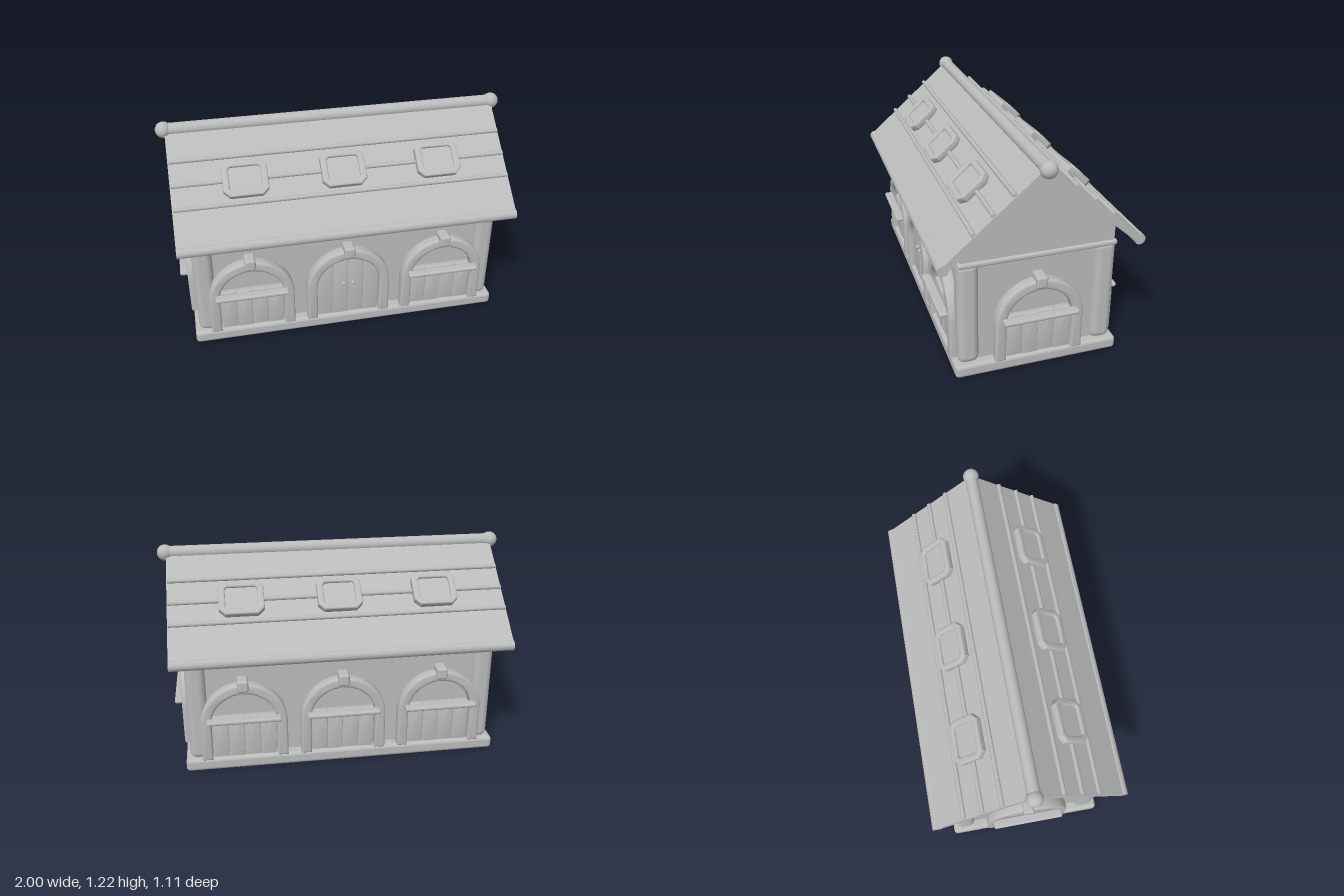
import * as THREE from 'three';
import { RoundedBoxGeometry } from 'three/addons/geometries/RoundedBoxGeometry.js';
import { toCreasedNormals } from 'three/addons/utils/BufferGeometryUtils.js';

const stone = new THREE.MeshStandardMaterial({ name: 'plain grey', color: 0xbbbbbb });

function add(parent, name, geometry, x = 0, y = 0, z = 0) {
  const mesh = new THREE.Mesh(geometry, stone);
  mesh.name = name;
  mesh.position.set(x, y, z);
  parent.add(mesh);
  return mesh;
}

function group(parent, name) {
  const g = new THREE.Group();
  g.name = name;
  parent.add(g);
  return g;
}

const rounded = (w, h, d, r) => new RoundedBoxGeometry(w, h, d, 4, r);
const rod = (r, length, sides) => new THREE.CylinderGeometry(r, r, length, sides).rotateZ(Math.PI / 2);

// Extrusion from z = 0 to z = depth with a softened front edge
function extrude(shape, depth, bevel) {
  const g = new THREE.ExtrudeGeometry(shape, {
    depth: depth - 2 * bevel, curveSegments: 24, bevelEnabled: bevel > 0,
    bevelThickness: bevel, bevelSize: bevel, bevelOffset: -bevel, bevelSegments: 3,
  });
  return toCreasedNormals(g.translate(0, 0, bevel), 0.6);
}

const FLOOR = 0.07, SPRING = 0.29, OUTER = 0.245, INNER = 0.185;

// Horseshoe-shaped surround of an opening
function archShape() {
  const s = new THREE.Shape();
  s.moveTo(OUTER, FLOOR);
  s.lineTo(OUTER, SPRING);
  s.absarc(0, SPRING, OUTER, 0, Math.PI, false);
  s.lineTo(-OUTER, FLOOR);
  s.lineTo(-INNER, FLOOR);
  s.lineTo(-INNER, SPRING);
  s.absarc(0, SPRING, INNER, Math.PI, 0, true);
  s.lineTo(INNER, FLOOR);
  return s;
}

// Vertical board whose top follows the arch or stops at a lower height
function plankShape(x0, x1, top) {
  const s = new THREE.Shape();
  s.moveTo(x0, FLOOR);
  s.lineTo(x1, FLOOR);
  for (let i = 0; i <= 8; i++) {
    const x = x1 + (x0 - x1) * i / 8;
    const arc = SPRING + Math.sqrt(Math.max(0, INNER * INNER - x * x));
    s.lineTo(x, Math.min(arc, top));
  }
  return s;
}

// One arched opening, facing local +z with the wall at z = 0
function addOpening(parent, x, z, turn, fullDoor) {
  const g = group(parent, fullDoor ? 'doubleDoor' : 'stallDoor');
  g.position.set(x, 0, z);
  g.rotation.y = turn;
  add(g, 'arch', extrude(archShape(), 0.068, 0.014));
  add(g, 'keystone', rounded(0.062, 0.07, 0.09, 0.014), 0, 0.53, 0.042);
  const width = 2 * (INNER - 0.005) / 4;
  for (let i = 0; i < 4; i++) {
    const x0 = -INNER + 0.005 + i * width;
    const shape = plankShape(x0 + 0.001, x0 + width - 0.001, fullDoor ? 1 : 0.325);
    add(g, 'plank', extrude(shape, i % 2 ? 0.04 : 0.036, 0.003));
  }
  if (fullDoor) {
    for (const s of [-1, 1]) add(g, 'knob', new THREE.SphereGeometry(0.012, 12, 8), s * 0.028, 0.295, 0.046);
  } else {
    add(g, 'ledge', rounded(0.42, 0.026, 0.055, 0.012), 0, 0.325, 0.082);
  }
}

function octagon(hw, hh, cut, Type = THREE.Shape) {
  const pts = [[hw, -hh + cut], [hw, hh - cut], [hw - cut, hh], [-hw + cut, hh],
    [-hw, hh - cut], [-hw, -hh + cut], [-hw + cut, -hh], [hw - cut, -hh]];
  return new Type(pts.map(([x, y]) => new THREE.Vector2(x, y)));
}

// One roof pitch: local z runs down the slope, local y is its normal
function addPitch(parent, turn) {
  const side = group(parent, 'roofPitch');
  side.rotation.y = turn;
  side.position.y = 1.187;
  const slope = group(side, 'slope');
  slope.rotation.x = Math.atan(0.865);
  const length = 0.713;
  add(slope, 'roofSlab', new THREE.BoxGeometry(1.9, 0.04, length), 0, -0.02, length / 2);
  add(slope, 'eaveRod', rod(0.03, 1.9, 12), 0, -0.02, length);
  for (const z of [0.21, 0.35, 0.485]) add(slope, 'batten', rod(0.013, 1.89, 10), 0, 0.006, z);
  // Skylights with chamfered frames
  const frame = octagon(0.125, 0.103, 0.035);
  frame.holes.push(octagon(0.088, 0.067, 0.012, THREE.Path));
  for (const x of [-0.545, 0, 0.545]) {
    add(slope, 'skylightFrame', extrude(frame, 0.046, 0.01).rotateX(-Math.PI / 2), x, 0, 0.353);
    add(slope, 'skylightPane', new THREE.BoxGeometry(0.19, 0.03, 0.148), x, 0.015, 0.353);
  }
}

export function createModel() {
  const model = new THREE.Group();
  model.name = 'stable';

  // Plinth and walls
  add(model, 'plinth', rounded(1.81, 0.076, 0.92, 0.022), 0, 0.038, 0);
  add(model, 'walls', new THREE.BoxGeometry(1.7, 0.62, 0.8), 0, 0.37, 0);

  // Gabled upper storey, closed by the roof
  const gable = new THREE.Shape([[-0.42, 0.68], [0.42, 0.68], [0.42, 0.775], [0, 1.14], [-0.42, 0.775]]
    .map(([x, y]) => new THREE.Vector2(x, y)));
  add(model, 'gable', extrude(gable, 1.74, 0).translate(0, 0, -0.87).rotateY(Math.PI / 2));

  // Corner pillars
  for (const sx of [-1, 1]) for (const sz of [-1, 1]) {
    add(model, 'cornerPillar', rounded(0.112, 0.61, 0.115, 0.04), sx * 0.824, 0.37, sz * 0.378);
  }

  // Trim below the eaves
  for (const s of [-1, 1]) {
    add(model, 'longTrim', rounded(1.76, 0.03, 0.04, 0.012), 0, 0.668, s * 0.415);
    add(model, 'endTrim', rounded(0.04, 0.03, 0.87, 0.012), s * 0.865, 0.668, 0);
  }

  // Openings on all four sides
  for (const x of [-0.565, 0, 0.565]) {
    addOpening(model, x, 0.4, 0, x === 0);
    addOpening(model, x, -0.4, Math.PI, false);
  }
  for (const s of [-1, 1]) addOpening(model, s * 0.85, 0, s * Math.PI / 2, false);

  // Roof with ridge pole and end balls
  addPitch(model, 0);
  addPitch(model, Math.PI);
  add(model, 'ridgePole', rod(0.036, 1.9, 20), 0, 1.172, 0);
  for (const s of [-1, 1]) add(model, 'ridgeBall', new THREE.SphereGeometry(0.046, 20, 14), s * 0.954, 1.172, 0);

  return model;
}
